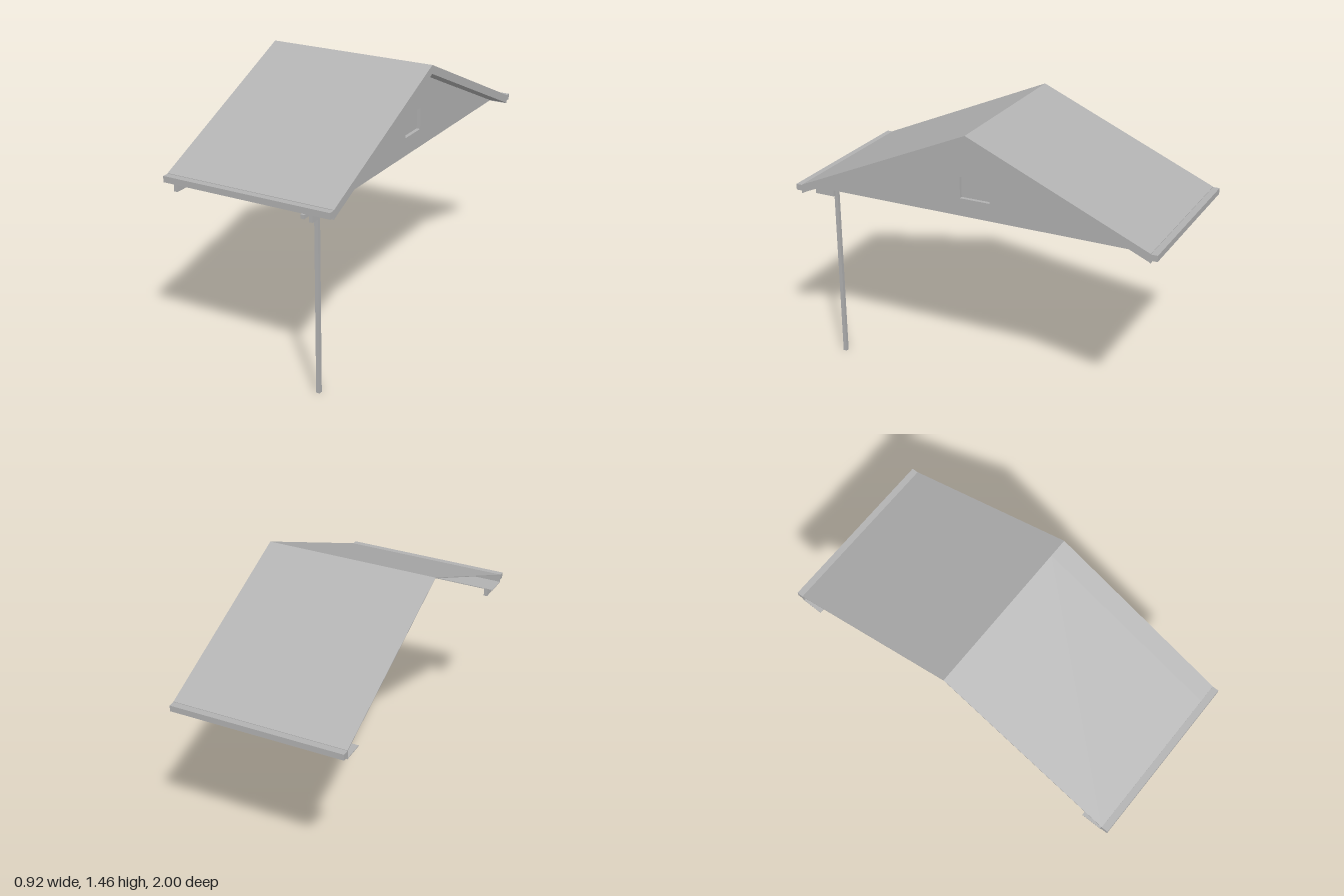
import * as THREE from 'three';

const LEFT = 0.46, RIGHT = -0.46;      // roof ends along x
const WALL = 0.36;                     // outer face of the gable wall
const EAVE = 0.965, SOFFIT = 0.985;    // eave z and soffit height
const RIDGE = 1.455, SLOPE = 0.438;

export function createModel() {
  const group = new THREE.Group();
  const grey = new THREE.MeshStandardMaterial({ color: 0xb2b2b2, side: THREE.DoubleSide });
  grey.name = 'plain grey';

  const add = (name, geometry) => {
    const mesh = new THREE.Mesh(geometry, grey);
    mesh.name = name;
    group.add(mesh);
    return mesh;
  };

  // Box given by its limits on each axis
  const box = (name, x0, x1, y0, y1, z0, z1) => {
    const mesh = add(name, new THREE.BoxGeometry(x1 - x0, y1 - y0, Math.abs(z1 - z0)));
    mesh.position.set((x0 + x1) / 2, (y0 + y1) / 2, (z0 + z1) / 2);
  };

  // Outline in (z, y), extruded along x
  const extrudeX = (name, points, x0, x1, hole) => {
    const shape = new THREE.Shape(points.map(p => new THREE.Vector2(...p)));
    if (hole) shape.holes.push(new THREE.Path(hole.map(p => new THREE.Vector2(...p))));
    const geometry = new THREE.ExtrudeGeometry(shape, { depth: x1 - x0, bevelEnabled: false });
    geometry.rotateY(-Math.PI / 2).translate(x1, 0, 0);
    return add(name, geometry);
  };

  const chevron = t => {
    const e = RIDGE - SLOPE * EAVE;
    return [[EAVE, e - t], [EAVE, e], [0, RIDGE], [-EAVE, e], [-EAVE, e - t], [0, RIDGE - t]];
  };

  // Thin roof sheet and the thick overhang in front of the gable
  extrudeX('roofSheet', chevron(0.004), RIGHT, WALL);
  extrudeX('rakeOverhang', chevron(0.046), WALL, LEFT);

  // Gable wall with a recessed vent
  const vent = [[-0.08, 1.08], [-0.08, 1.195], [0.085, 1.195], [0.085, 1.08]];
  extrudeX('gableWall', [[-EAVE, SOFFIT], [EAVE, SOFFIT], [0, RIDGE - 0.046]], WALL - 0.025, WALL, vent);
  box('ventPanel', WALL - 0.025, WALL - 0.02, 1.08, 1.195, -0.08, 0.085);

  // Eaves on both sides
  for (const s of [1, -1]) {
    box('soffit', RIGHT, WALL, SOFFIT, SOFFIT + 0.004, s * 0.85, s * EAVE);
    box('fascia', RIGHT, LEFT, SOFFIT, 1.03, s * (EAVE - 0.004), s * (EAVE + 0.002));
    box('gutter', RIGHT, LEFT, 0.998, 1.03, s * EAVE, s * 1.0);
  }

  // Brackets under the front soffit
  for (const x of [-0.42, 0.335]) {
    box('bracket', x - 0.01, x + 0.01, 0.943, SOFFIT, 0.85, 0.96);
  }

  // Downpipe with its elbow to the gutter
  box('downpipe', 0.295, 0.315, 0, SOFFIT, 0.845, 0.865);
  box('downpipeElbow', 0.295, 0.315, 0.964, SOFFIT, 0.865, 0.985);

  return group;
}
